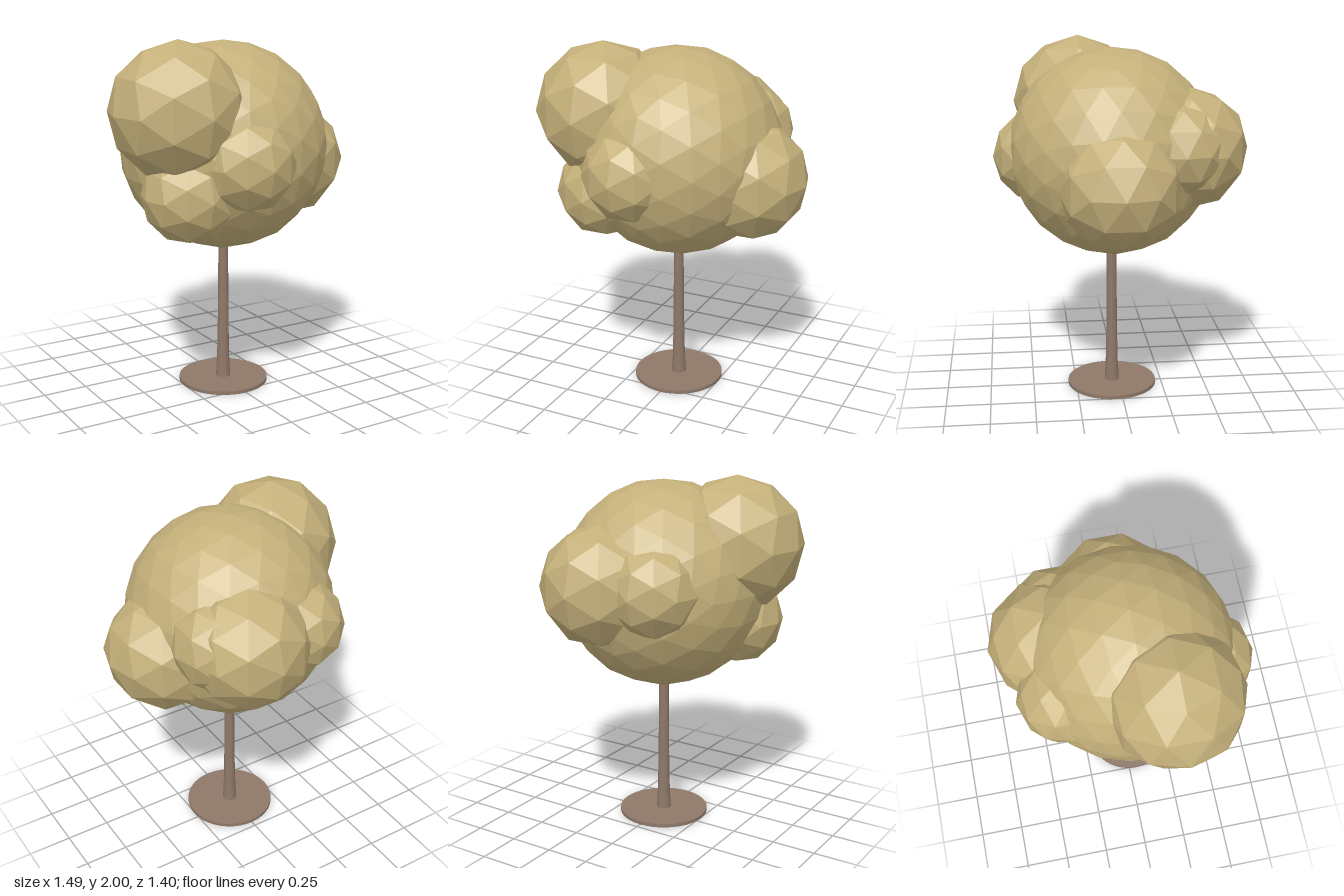
import * as THREE from 'three';

export function createModel() {
  const tree = new THREE.Group();
  tree.name = 'tree';

  const leafTan = new THREE.MeshStandardMaterial({ color: 0xc4b07a });
  leafTan.name = 'leafTan';
  leafTan.flatShading = true;
  const barkBrown = new THREE.MeshStandardMaterial({ color: 0x8e7868 });
  barkBrown.name = 'barkBrown';
  barkBrown.flatShading = true;

  const add = (name, geometry, material, x, y, z) => {
    const mesh = new THREE.Mesh(geometry, material);
    mesh.name = name;
    mesh.position.set(x, y, z);
    tree.add(mesh);
  };

  const axisZ = 0.04; // trunk axis, slightly ahead of the bounding centre

  // Ground disc
  add('baseDisc', new THREE.CylinderGeometry(0.256, 0.256, 0.02, 40), barkBrown, 0, 0.01, axisZ);

  // Trunk: tapered, with a slight flare at the foot, its top hidden in the crown
  const trunkProfile = [[0.042, 0.015], [0.036, 0.12], [0.032, 0.3], [0.028, 0.75], [0.026, 0.95], [0, 0.95]]
    .map(([r, y]) => new THREE.Vector2(r, y));
  add('trunk', new THREE.LatheGeometry(trunkProfile, 12), barkBrown, 0, 0, axisZ);

  // Crown: a large faceted ball with coarser leaf clumps around it
  // name, radius, detail, x, y, z
  const clumps = [
    ['crown', 0.578, 3, 0, 1.392, axisZ - 0.005],
    ['upperSideClump', 0.375, 1, -0.37, 1.625, 0.2],
    ['lowerSideClump', 0.26, 1, -0.345, 1.185, 0.27],
    ['frontClump', 0.265, 1, -0.09, 1.357, 0.435],
    ['oppositeSideClump', 0.335, 1, 0.41, 1.28, 0.033],
    ['backClump', 0.34, 1, 0.14, 1.43, -0.36],
    ['backInnerClump', 0.26, 1, -0.18, 1.435, -0.34],
    ['backOuterClump', 0.265, 1, 0.27, 1.45, -0.3],
  ];
  for (const [name, radius, detail, x, y, z] of clumps) {
    add(name, new THREE.IcosahedronGeometry(radius, detail), leafTan, x, y, z);
  }

  return tree;
}
